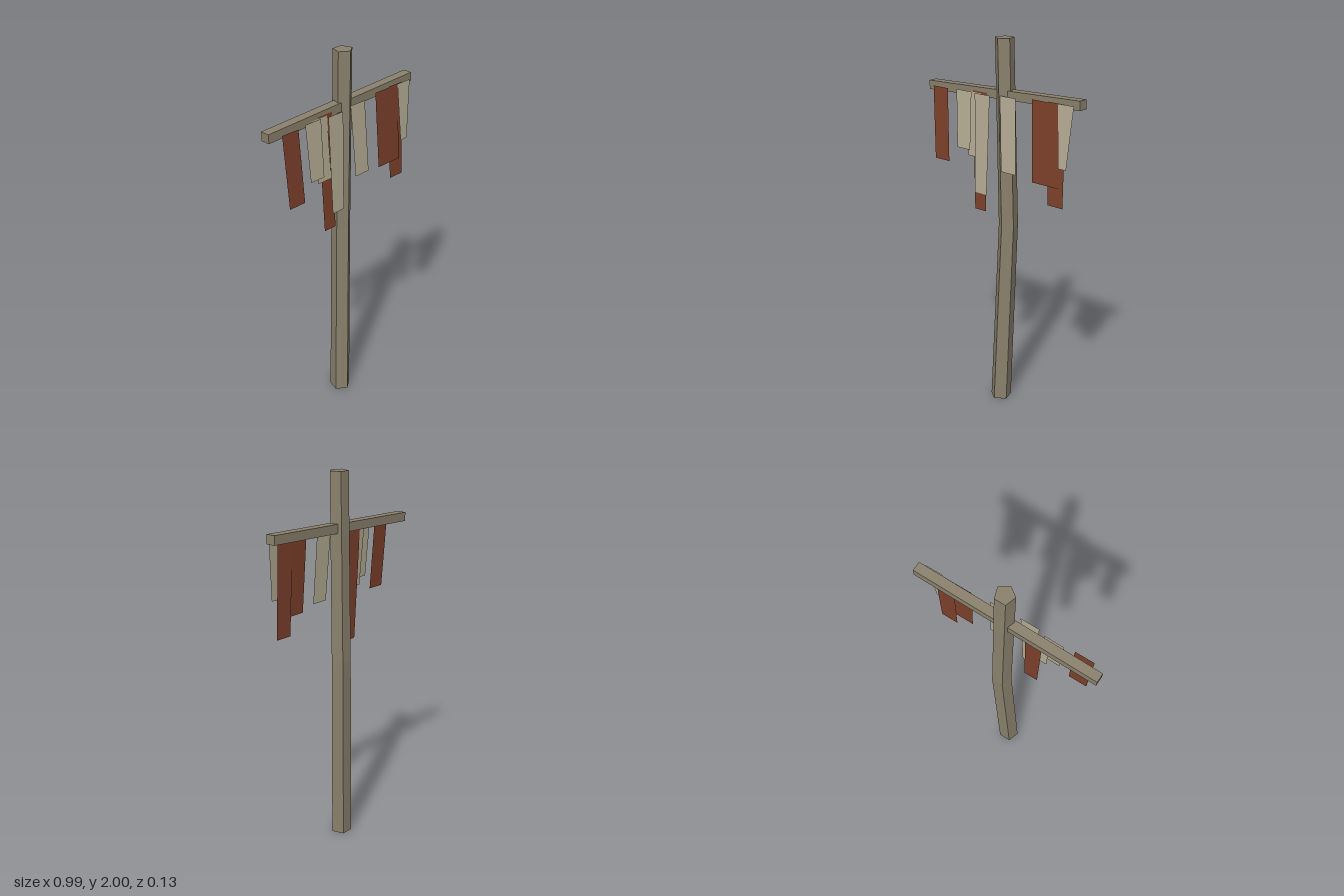
import * as THREE from 'three';

const wood = new THREE.MeshStandardMaterial({ name: 'weatheredWood', color: 0x8a806c });
const linen = new THREE.MeshStandardMaterial({ name: 'paleCloth', color: 0xb5ac94, side: THREE.DoubleSide });
const rust = new THREE.MeshStandardMaterial({ name: 'rustCloth', color: 0x7d402b, side: THREE.DoubleSide });

// Crooked five-sided pole: each ring is [y, centre x, centre z, radius]
function makePole() {
  const rings = [[0, -0.013, 0.002, 0.057], [1.02, 0.018, -0.021, 0.053], [2, 0.009, 0, 0.05]];
  const geo = new THREE.CylinderGeometry(1, 1, 2, 5, 2).toNonIndexed();
  const p = geo.attributes.position;
  for (let i = 0; i < p.count; i++) {
    const [y, cx, cz, r] = rings[Math.round(p.getY(i)) + 1];
    p.setXYZ(i, cx + p.getX(i) * r, y, cz + p.getZ(i) * r);
  }
  geo.computeVertexNormals();
  const mesh = new THREE.Mesh(geo, wood);
  mesh.name = 'pole';
  return mesh;
}

// Hanging cloth strip: top edge x0..x1 at (y, z), bottom edge x2..x3 swung forward
function makeStrip([material, [x0, x1, yTop, zTop], [x2, x3, yBottom, zBottom]], i) {
  const geo = new THREE.PlaneGeometry(1, 1);
  const p = geo.attributes.position;
  p.setXYZ(0, x0, yTop, zTop);
  p.setXYZ(1, x1, yTop, zTop);
  p.setXYZ(2, x2, yBottom, zBottom);
  p.setXYZ(3, x3, yBottom, zBottom);
  geo.computeVertexNormals();
  const mesh = new THREE.Mesh(geo, material);
  mesh.name = `clothStrip${i + 1}`;
  return mesh;
}

const strips = [
  [rust, [-0.44, -0.337, 1.706, 0.048], [-0.42, -0.32, 1.32, 0.065]],
  [linen, [-0.284, -0.18, 1.708, 0.038], [-0.268, -0.178, 1.405, 0.055]],
  [linen, [-0.222, -0.125, 1.705, 0.024], [-0.203, -0.115, 1.37, 0.04]],
  [rust, [-0.184, -0.088, 1.713, 0.021], [-0.161, -0.085, 1.085, 0.038]],
  [linen, [-0.144, -0.043, 1.71, 0.052], [-0.133, -0.054, 1.186, 0.068]],
  [linen, [0.018, 0.119, 1.718, 0.043], [0.04, 0.135, 1.333, 0.061]],
  [rust, [0.211, 0.372, 1.727, 0.03], [0.23, 0.392, 1.313, 0.045]],
  [rust, [0.313, 0.416, 1.73, 0.027], [0.326, 0.42, 1.214, 0.041]],
  [linen, [0.374, 0.468, 1.731, 0.033], [0.394, 0.442, 1.416, 0.049]],
];

export function createModel() {
  const model = new THREE.Group();
  model.name = 'bannerPole';
  model.add(makePole());

  // Slightly tilted crossbar
  const bar = new THREE.Mesh(new THREE.BoxGeometry(0.993, 0.047, 0.05), wood);
  bar.name = 'crossbar';
  bar.position.set(-0.002, 1.717, -0.005);
  bar.rotation.z = 0.037;
  model.add(bar);

  const cloth = new THREE.Group();
  cloth.name = 'clothStrips';
  cloth.add(...strips.map(makeStrip));
  model.add(cloth);
  return model;
}
